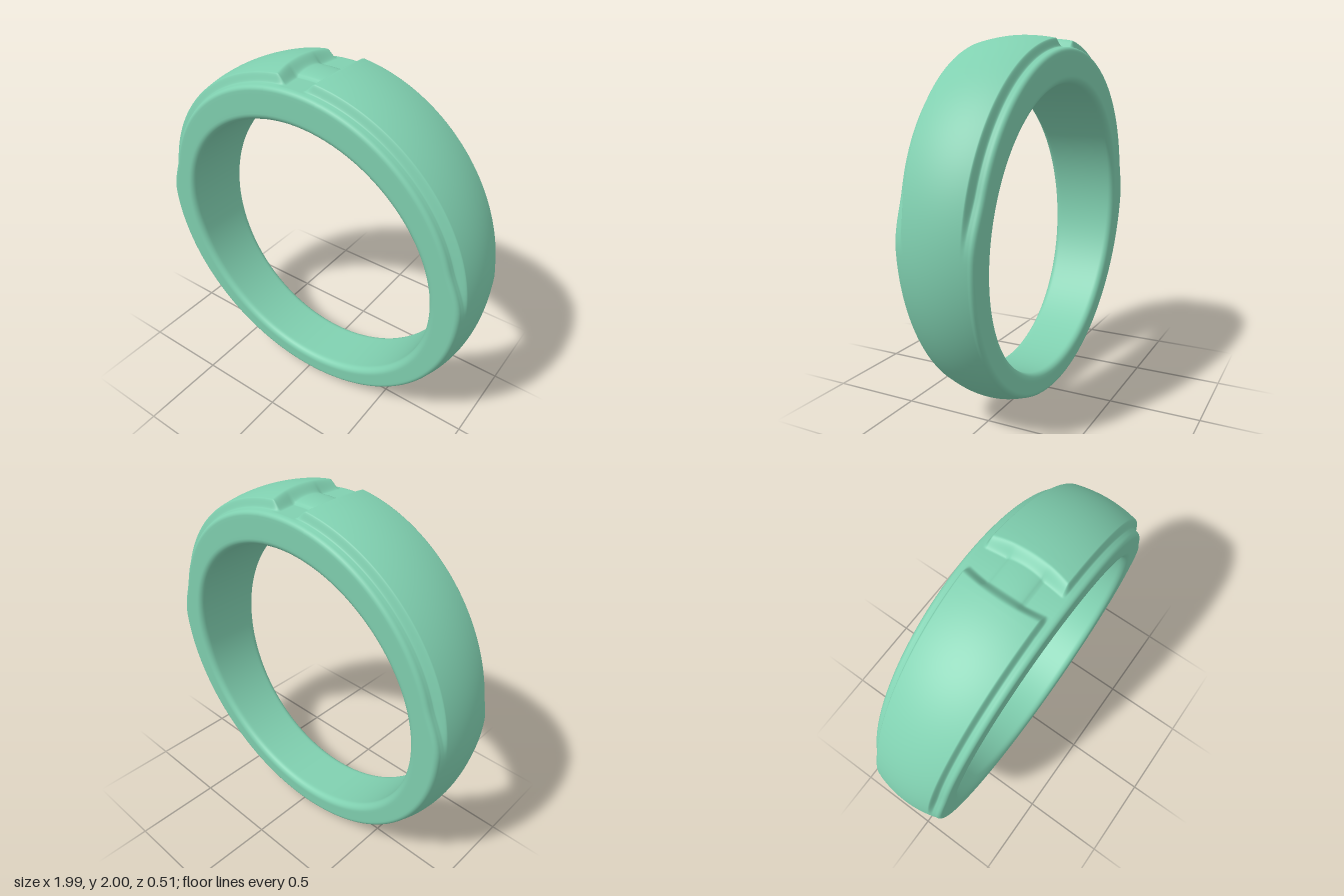
import * as THREE from 'three';

// outer ellipse and offset bore
const CY = 1.003, RX = 0.994, RY = 1.003;
const BORE_Y = 0.953, BORE_R = 0.797;
const OUTER_FILLET = 0.025, INNER_FILLET = 0.038;

const { smoothstep, lerp } = THREE.MathUtils;
const halfWidth = (y) => 0.157 + 0.0525 * y; // band tapers towards the bottom

// How far the outer surface sinks below the ellipse at angle t (from the top) and width z
function drop(t, z, w) {
  const crown = 0.038 * (z / w) ** 2;
  // stepped shoulder along both edges of the upper half
  const step = 0.04 * smoothstep(Math.cos(t), 0, 0.3) * smoothstep(z, w - 0.062, w - 0.042);
  const base = crown + step;
  // notch across the top, with a rounded bridge in its middle
  const x = Math.abs(RX * Math.sin(t));
  if (Math.cos(t) < 0 || x > 0.16) return base;
  const bow = 0.02 * Math.max(0, 1 - (z / 0.2) ** 2);
  const cut = 1 - smoothstep(x, 0.055 + bow, 0.115 + bow);
  const bridge = 0.022 * Math.sqrt(Math.max(0, 1 - (z / 0.095) ** 2));
  return lerp(base, Math.max(base, 0.07 - bridge), cut);
}

// Front half of the cross-section, from the crown centre round to the bore centre
function halfSection(t) {
  const s = Math.sin(t), c = Math.cos(t), pts = [];
  const outer = (d) => [s * (RX - d), CY + c * (RY - d)];
  const bore = (e) => [s * (BORE_R + e), BORE_Y + c * (BORE_R + e)];
  const w = halfWidth(outer(0.05)[1]);
  // crown, step and shoulder
  const zs = [];
  for (let i = 0; i < 20; i++) zs.push((w - 0.066) * i / 20);
  for (let i = 0; i < 10; i++) zs.push(w - 0.066 + 0.028 * i / 10);
  for (let i = 0; i <= 3; i++) zs.push(w - 0.038 + (0.038 - OUTER_FILLET) * i / 3);
  for (const z of zs) pts.push([...outer(drop(t, z, w)), z]);
  // rounded outer edge
  const d0 = drop(t, w - OUTER_FILLET, w);
  for (let i = 1; i <= 6; i++) {
    const a = (i / 6) * Math.PI / 2;
    const [x, y] = outer(d0 + OUTER_FILLET * (1 - Math.cos(a)));
    pts.push([x, y, halfWidth(y) - OUTER_FILLET * (1 - Math.sin(a))]);
  }
  // flat side wall
  const [ox, oy] = outer(d0 + OUTER_FILLET), [ix, iy] = bore(INNER_FILLET);
  for (const k of [0.15, 0.5, 0.85]) {
    const y = lerp(oy, iy, k);
    pts.push([lerp(ox, ix, k), y, halfWidth(y)]);
  }
  // rounded inner edge
  for (let i = 0; i <= 7; i++) {
    const a = (i / 7) * Math.PI / 2;
    const [x, y] = bore(INNER_FILLET * (1 - Math.sin(a)));
    pts.push([x, y, halfWidth(y) - INNER_FILLET * (1 - Math.cos(a))]);
  }
  // bore
  const [bx, by] = bore(0), bz = halfWidth(by) - INNER_FILLET;
  for (const k of [0.9, 0.5, 0]) pts.push([bx, by, bz * k]);
  return pts;
}

function bandGeometry() {
  // angles, finer around the notch
  const angles = [], fine = 0.17;
  for (let i = 0; i < 80; i++) angles.push(-fine + 2 * fine * i / 80);
  for (let i = 0; i < 180; i++) angles.push(fine + (2 * Math.PI - 2 * fine) * i / 180);

  const positions = [], index = [];
  let n = 0;
  for (const t of angles) {
    const front = halfSection(t);
    const back = front.slice(1, -1).reverse().map(([x, y, z]) => [x, y, -z]);
    const loop = [...front, ...back];
    n = loop.length;
    for (const p of loop) positions.push(...p);
  }
  for (let i = 0; i < angles.length; i++) {
    const i2 = (i + 1) % angles.length;
    for (let j = 0; j < n; j++) {
      const j2 = (j + 1) % n;
      const a = i * n + j, b = i * n + j2, c = i2 * n + j, d = i2 * n + j2;
      index.push(a, b, c, b, d, c);
    }
  }
  const geometry = new THREE.BufferGeometry();
  geometry.setAttribute('position', new THREE.Float32BufferAttribute(positions, 3));
  geometry.setIndex(index);
  geometry.computeVertexNormals();
  return geometry;
}

export function createModel() {
  const group = new THREE.Group();
  group.name = 'ring';
  const band = new THREE.Mesh(bandGeometry(), new THREE.MeshStandardMaterial({ color: 0x80d0b0 }));
  band.name = 'band';
  group.add(band);
  return group;
}
